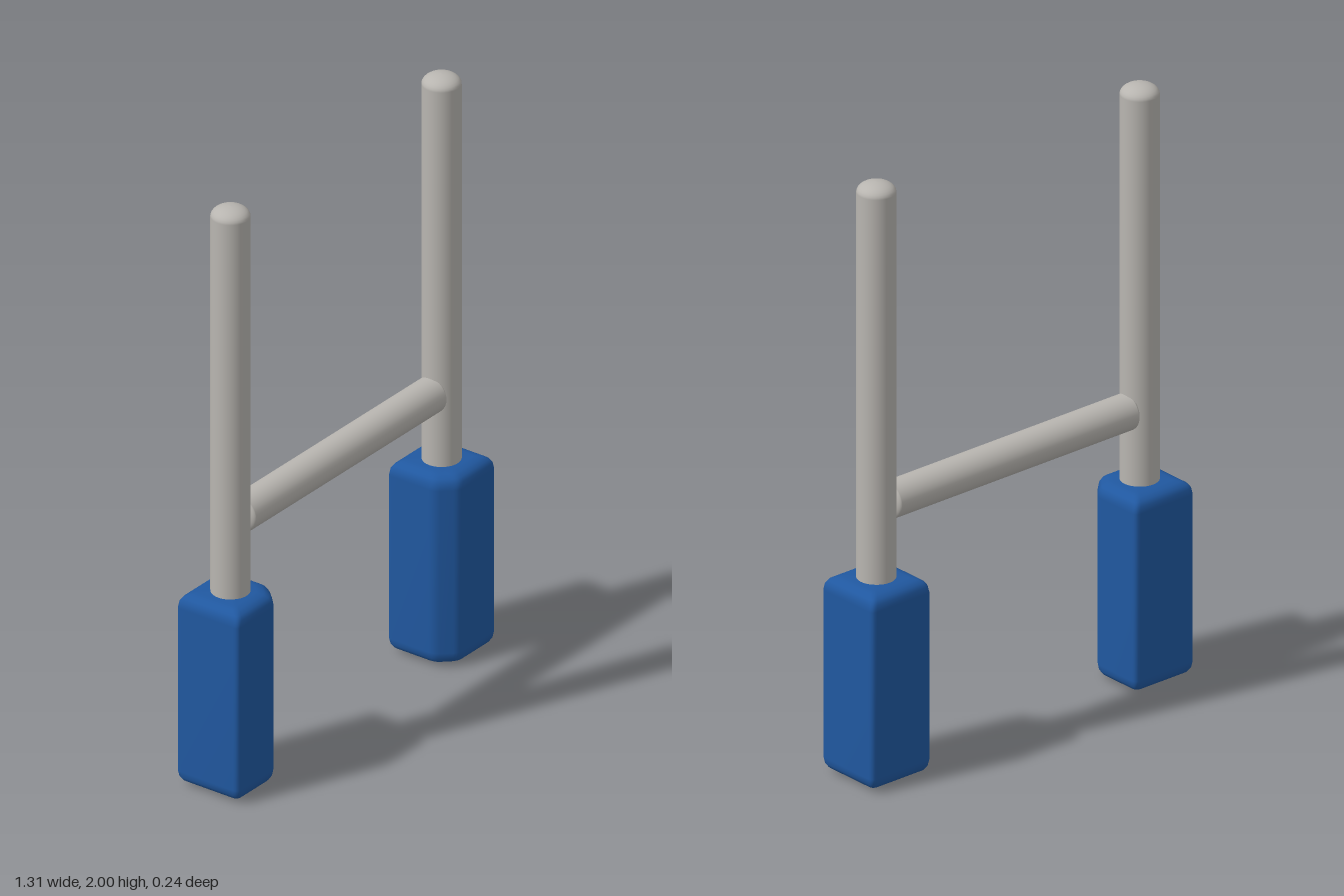
import * as THREE from 'three';

const POST_X = 0.535;

// Rounded pad cross-section in x/z, chamfered on the inner front corner
function padOutline(side) {
  const corners = [[0.12, 0.12], [0.12, -0.12], [-0.12, -0.12], [-0.12, 0.06], [-0.065, 0.12]]
    .map(([x, z]) => new THREE.Vector2(x, z));
  const n = corners.length, r = 0.02, points = [];
  corners.forEach((p, i) => {
    const toward = (q) => q.clone().sub(p).setLength(r).add(p);
    const curve = new THREE.QuadraticBezierCurve(
      toward(corners[(i + n - 1) % n]), p, toward(corners[(i + 1) % n]));
    points.push(...curve.getPoints(4));
  });
  if (side < 0) {
    points.forEach((p) => { p.x = -p.x; });
    points.reverse();
  }
  return points;
}

// Pad skin: stacked scaled outlines with softly rounded ends
function padGeometry(side) {
  const outline = padOutline(side), n = outline.length, height = 0.665;
  const end = [[0.6, 0.002], [0.78, 0.007], [0.9, 0.016], [0.97, 0.029], [1, 0.05]];
  const levels = [...end, ...end.map(([s, y]) => [s, height - y]).reverse()];
  const positions = [], index = [];
  for (const [s, y] of levels) {
    for (const p of outline) positions.push(p.x * s, y, p.y * s);
  }
  const bottom = levels.length * n, top = bottom + 1;
  positions.push(0, 0, 0, 0, height, 0);
  for (let j = 0; j < n; j++) {
    const k = (j + 1) % n;
    for (let i = 0; i < levels.length - 1; i++) {
      const a = i * n + j, b = i * n + k;
      index.push(a, b, b + n, a, b + n, a + n);
    }
    const last = (levels.length - 1) * n;
    index.push(bottom, k, j, top, last + j, last + k);
  }
  const geometry = new THREE.BufferGeometry();
  geometry.setAttribute('position', new THREE.Float32BufferAttribute(positions, 3));
  geometry.setIndex(index);
  geometry.computeVertexNormals();
  return geometry;
}

// Round pole along y with low domed ends
function poleGeometry(radius, y0, y1, dome) {
  const profile = [], steps = 8;
  for (let i = 0; i <= steps; i++) {
    const a = (i / steps) * Math.PI / 2;
    profile.push(new THREE.Vector2(radius * Math.sin(a), y0 + dome * (1 - Math.cos(a))));
  }
  for (let i = steps; i >= 0; i--) {
    const a = (i / steps) * Math.PI / 2;
    profile.push(new THREE.Vector2(radius * Math.sin(a), y1 - dome * (1 - Math.cos(a))));
  }
  return new THREE.LatheGeometry(profile, 32);
}

export function createModel() {
  const metal = new THREE.MeshStandardMaterial({ color: 0xb8b5b0 });
  metal.name = 'light grey paint';
  const padding = new THREE.MeshStandardMaterial({ color: 0x2058a0 });
  padding.name = 'blue padding';

  const model = new THREE.Group();
  model.name = 'goalPosts';
  const add = (name, geometry, material) => {
    const mesh = new THREE.Mesh(geometry, material);
    mesh.name = name;
    model.add(mesh);
    return mesh;
  };

  // Uprights and their pads
  for (const [name, side] of [['left', 1], ['right', -1]]) {
    add(name + 'Post', poleGeometry(0.062, 0.6, 2, 0.035), metal).position.x = side * POST_X;
    add(name + 'Pad', padGeometry(side), padding).position.x = side * POST_X;
  }

  // Crossbar between the uprights
  const bar = add('crossbar', poleGeometry(0.059, -0.5, 0.5, 0.02), metal);
  bar.rotation.z = Math.PI / 2;
  bar.position.y = 0.905;

  return model;
}
